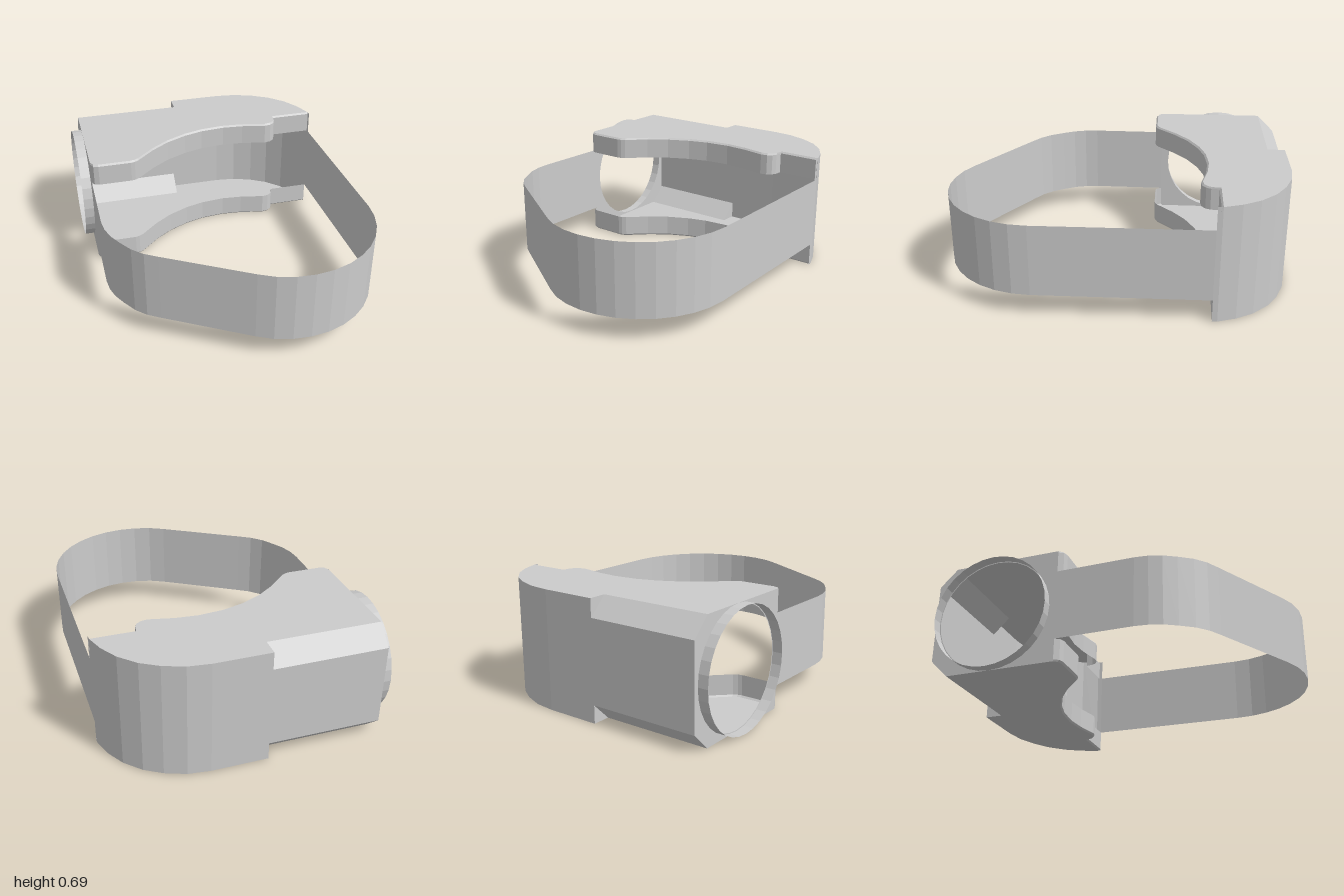
import * as THREE from 'three';

const H = 0.695;      // housing height
const LEFT = -0.745;  // plane of the left wall
const BEVEL = 0.01;

const material = new THREE.MeshStandardMaterial({
  color: 0xcccccc, flatShading: true, side: THREE.DoubleSide,
});

// Sheet stretched between consecutive rows of [x, y, z] points
function sheet(rows) {
  const n = rows[0].length, index = [];
  for (let r = 0; r < rows.length - 1; r++) {
    for (let i = 0; i < n - 1; i++) {
      const a = r * n + i, b = a + n;
      index.push(a, b, a + 1, a + 1, b, b + 1);
    }
  }
  const g = new THREE.BufferGeometry();
  g.setAttribute('position', new THREE.Float32BufferAttribute(rows.flat(2), 3));
  g.setIndex(index);
  g.computeVertexNormals();
  return g;
}

// Row of points following an [x, z] path at height y
const row = (path, y, dz = 0) => path.map(([x, z]) => [x, y, z + dz]);
const shapeOf = (pts) => new THREE.Shape(pts.map(([a, b]) => new THREE.Vector2(a, b)));

export function createModel() {
  const model = new THREE.Group();
  const add = (name, geometry) => {
    const mesh = new THREE.Mesh(geometry, material);
    mesh.name = name;
    model.add(mesh);
  };

  // Plan of the rounded back, as [x, z]
  const back = [
    [-0.08, -1], [0.25, -1], [0.38, -0.985], [0.5, -0.94], [0.6, -0.88],
    [0.69, -0.79], [0.75, -0.69], [0.788, -0.585], [0.79, -0.555],
  ];
  // Plan of the scalloped front edge; the straight ledge at its right end lies at ledgeZ
  const frontEdge = (ledgeZ) => [
    [0.79, ledgeZ], [0.535, ledgeZ], [0.53, -0.53], [0.517, -0.503], [0.49, -0.483],
    [0.45, -0.476], [0.3, -0.508], [0.17, -0.519], [0.02, -0.504], [-0.1, -0.469],
    [-0.23, -0.406], [-0.34, -0.325], [-0.45, -0.22], [-0.475, -0.206], [-0.5, -0.2],
    [-0.7, -0.2], [-0.73, -0.21], [LEFT, -0.24],
  ];

  // Top and bottom plates, each with a bevelled lip along the front
  for (const [side, y, up, ledgeZ] of [['top', H, 1, -0.575], ['bottom', 0, -1, -0.555]]) {
    const front = frontEdge(ledgeZ);
    const outline = [
      [LEFT, -0.895], [-0.08, -0.895], ...back.slice(0, -1),
      ...front.map(([x, z]) => [x, z - BEVEL]),
    ];
    const plate = new THREE.ShapeGeometry(shapeOf(outline.map(([x, z]) => [x, -z])));
    plate.rotateX(-Math.PI / 2).translate(0, y, 0);
    add(side + 'Plate', plate);
    add(side + 'Lip', sheet([
      row(front, y, -BEVEL), row(front, y - up * BEVEL), row(front, y - up * 0.135),
    ]));
    // Triangle closing the end of the back chamfer
    add(side + 'ChamferEnd', sheet([
      [[-0.08, y, -0.895], [-0.08, y, -1]],
      [[-0.08, y, -0.895], [-0.08, y - up * 0.105, -1]],
    ]));
  }

  // Back wall: rounded part and chamfered part
  add('backWall', sheet([row(back, 0), row(back, H)]));
  const chamfer = [[0, -0.895], [0.105, -1], [H - 0.105, -1], [H, -0.895]];
  add('chamferedBackWall', sheet(
    [LEFT, -0.08].map((x) => chamfer.map(([y, z]) => [x, y, z])),
  ));

  // Left wall with its round opening, drawn as (-z, y)
  const wall = shapeOf([...chamfer.map(([y, z]) => [-z, y]), [0.24, H], [0.24, 0]]);
  const hole = new THREE.Path();
  hole.absarc(0.627, H / 2, 0.342, 0, Math.PI * 2, true);
  wall.holes.push(hole);
  const leftWall = new THREE.ShapeGeometry(wall, 16);
  leftWall.rotateY(Math.PI / 2).translate(LEFT, 0, 0);
  add('leftWall', leftWall);

  // Short open collar around the opening
  const collar = new THREE.CylinderGeometry(H / 2, H / 2, 0.06, 32, 1, true);
  collar.rotateZ(Math.PI / 2).translate(LEFT - 0.03, H / 2, -0.627);
  add('collar', collar);

  // Thin strap: tight left corner, slanted run, wide right arc
  const strap = [
    [LEFT, -0.24], [-0.75, 0.22], [-0.742, 0.3], [-0.72, 0.375], [-0.68, 0.45],
    [-0.63, 0.53], [-0.57, 0.59], [-0.5, 0.635], [-0.03, 0.92],
  ];
  for (let i = 0; i <= 10; i++) {
    const a = THREE.MathUtils.degToRad(110 - 11 * i);
    strap.push([0.25 + 0.55 * Math.cos(a), 0.45 + 0.55 * Math.sin(a)]);
  }
  strap.push([0.79, -0.555]);
  add('strap', sheet([row(strap, 0.135), row(strap, 0.56)]));

  return model;
}
